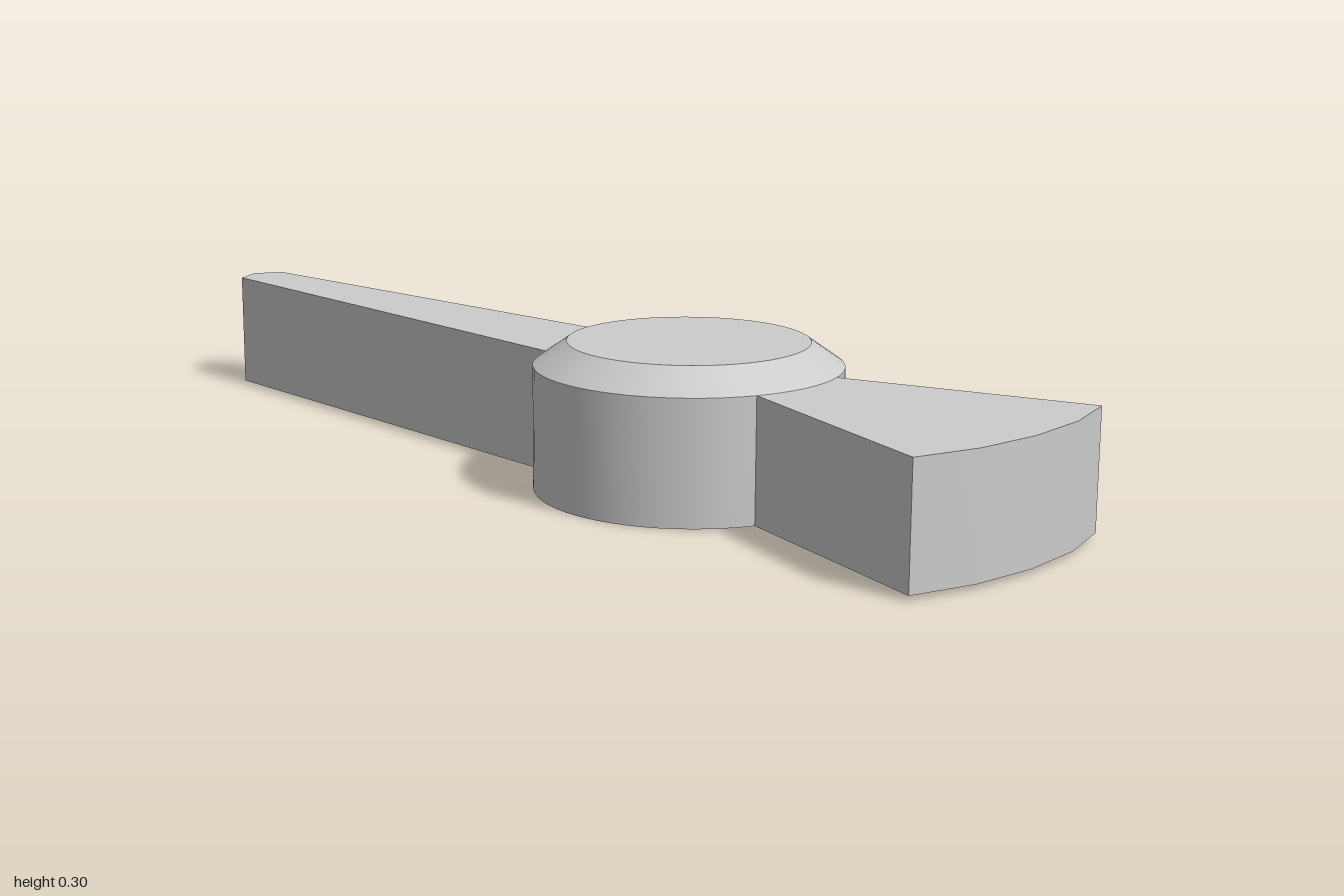
import * as THREE from 'three';
import { toCreasedNormals } from 'three/addons/utils/BufferGeometryUtils.js';

const HUB = { x: 0.205, z: 0.087, radius: 0.307, height: 0.25 };
const material = new THREE.MeshStandardMaterial({ color: 0xcccccc });

function part(name, geometry) {
  const mesh = new THREE.Mesh(toCreasedNormals(geometry, 0.5), material);
  mesh.name = name;
  return mesh;
}

// Upright slab from a plan outline of [x, z] corners
function slab(outline) {
  const shape = new THREE.Shape(outline.map(([x, z]) => new THREE.Vector2(x, -z)));
  const geometry = new THREE.ExtrudeGeometry(shape, { depth: HUB.height, bevelEnabled: false });
  return geometry.rotateX(-Math.PI / 2);
}

export function createModel() {
  const group = new THREE.Group();
  group.name = 'pointerKnob';

  // Round hub with a chamfered cap
  const profile = [[0, 0], [HUB.radius, 0], [HUB.radius, HUB.height], [0.24, 0.297], [0, 0.297]];
  const hub = part('hub', new THREE.LatheGeometry(profile.map(([r, y]) => new THREE.Vector2(r, y)), 64));
  hub.position.set(HUB.x, 0, HUB.z);
  group.add(hub);

  // Long tapered pointer with a clipped tip
  group.add(part('pointer', slab([
    [0.1, -0.135], [0.035, -0.172], [-0.933, -0.745], [-0.992, -0.715], [-1, -0.65], [-0.1, 0.027], [-0.03, 0.08],
  ])));

  // Short fan-shaped tail, its underside rising slightly outward
  const tail = slab([
    [0.4, 0.125], [0.51, 0.155], [1, 0.29], [0.96, 0.42], [0.89, 0.545], [0.802, 0.652], [0.695, 0.74], [0.38, 0.345], [0.32, 0.27],
  ]);
  const p = tail.attributes.position;
  for (let i = 0; i < p.count; i++) {
    const reach = Math.hypot(p.getX(i) - HUB.x, p.getZ(i) - HUB.z) - HUB.radius;
    if (p.getY(i) < 0.1) p.setY(i, 0.01 * Math.max(0, reach / 0.51));
  }
  group.add(part('tail', tail));

  return group;
}
